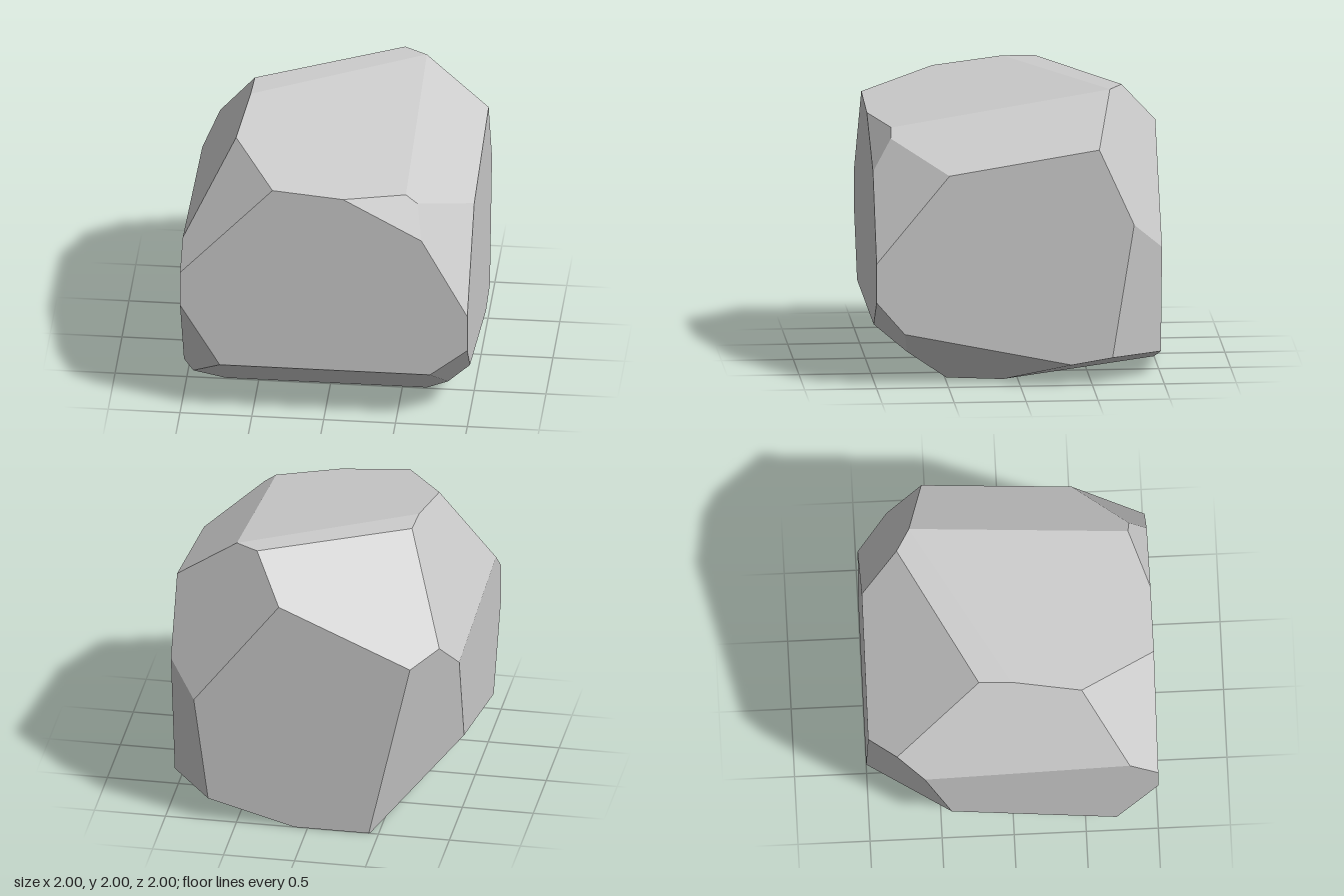
import * as THREE from 'three';

// Each cut is an outward direction and its offset: the stone is what lies behind all of them.
const CUTS = [
  // outer block
  [1, 0, 0, 1], [-1, 0, 0, 1], [0, 1, 0, 2], [0, -1, 0, 0], [0, 0, 1, 1], [0, 0, -1, 1],
  // upper facets
  [0.091, 1, 0.161, 1.945],     // broad top slope
  [0.72, 1, 0.161, 2.297],      // right shoulder
  [0.31, 0.56, 0.9, 1.934],     // small front chip
  [0.59, 0.32, 0.389, 1.261],   // front right
  [1, 0.77, -1.7, 3.215],       // back right shoulder
  [-0.52, 1.19, -0.99, 2.914],  // back shoulder
  [-1, 0.518, -0.035, 1.64],    // left shoulder
  [-0.7, 0.65, 0.55, 1.98],     // front left
  // lower facets
  [-0.47, -0.28, 0.58, 0.808],  // front left
  [0, -0.51, 0.4, 0.196],       // front undercut
  [0.2, -0.25, 0.29, 0.338],    // front right chip
  [0.96, -1, 0.203, 0.743],     // right undercut
  [1.1, -4, -0.66, 0.759],      // back right undercut
  [1.21, -0.16, -1, 1.82],      // back right edge
  [-1.3, -0.29, -1.03, 1.592],  // back left
  [-1, -0.85, -0.195, 0.635],   // left undercut
];

// Corner points: meetings of three cuts that no other cut removes
function findCorners(planes) {
  const corners = [];
  const m = new THREE.Matrix3();
  for (let i = 0; i < planes.length; i++)
    for (let j = i + 1; j < planes.length; j++)
      for (let k = j + 1; k < planes.length; k++) {
        const [a, b, c] = [planes[i], planes[j], planes[k]];
        m.set(...a.normal.toArray(), ...b.normal.toArray(), ...c.normal.toArray());
        if (Math.abs(m.determinant()) < 1e-5) continue;
        const p = new THREE.Vector3(-a.constant, -b.constant, -c.constant).applyMatrix3(m.invert());
        if (planes.some((q) => q.distanceToPoint(p) > 1e-6)) continue;
        if (!corners.some((q) => q.distanceTo(p) < 1e-5)) corners.push(p);
      }
  return corners;
}

// One flat polygon per cut, its corners sorted counter-clockwise and fanned into triangles
function facetedStone(cuts) {
  const planes = cuts.map(([x, y, z, d]) => new THREE.Plane(new THREE.Vector3(x, y, z), -d).normalize());
  const corners = findCorners(planes);
  const positions = [];
  for (const plane of planes) {
    const ring = corners.filter((p) => Math.abs(plane.distanceToPoint(p)) < 1e-5);
    if (ring.length < 3) continue;
    const centre = ring.reduce((s, p) => s.add(p), new THREE.Vector3()).divideScalar(ring.length);
    const u = ring[0].clone().sub(centre).normalize();
    const v = plane.normal.clone().cross(u);
    const angle = (p) => {
      const r = p.clone().sub(centre);
      return Math.atan2(r.dot(v), r.dot(u));
    };
    ring.sort((p, q) => angle(p) - angle(q));
    for (let i = 1; i < ring.length - 1; i++)
      for (const p of [ring[0], ring[i], ring[i + 1]]) positions.push(p.x, p.y, p.z);
  }
  const geometry = new THREE.BufferGeometry();
  geometry.setAttribute('position', new THREE.Float32BufferAttribute(positions, 3));
  geometry.computeVertexNormals();
  return geometry;
}

export function createModel() {
  const group = new THREE.Group();
  group.name = 'rock';
  const material = new THREE.MeshStandardMaterial({ color: 0xcccccc, flatShading: true });
  const stone = new THREE.Mesh(facetedStone(CUTS), material);
  stone.name = 'boulder';
  group.add(stone);
  return group;
}
